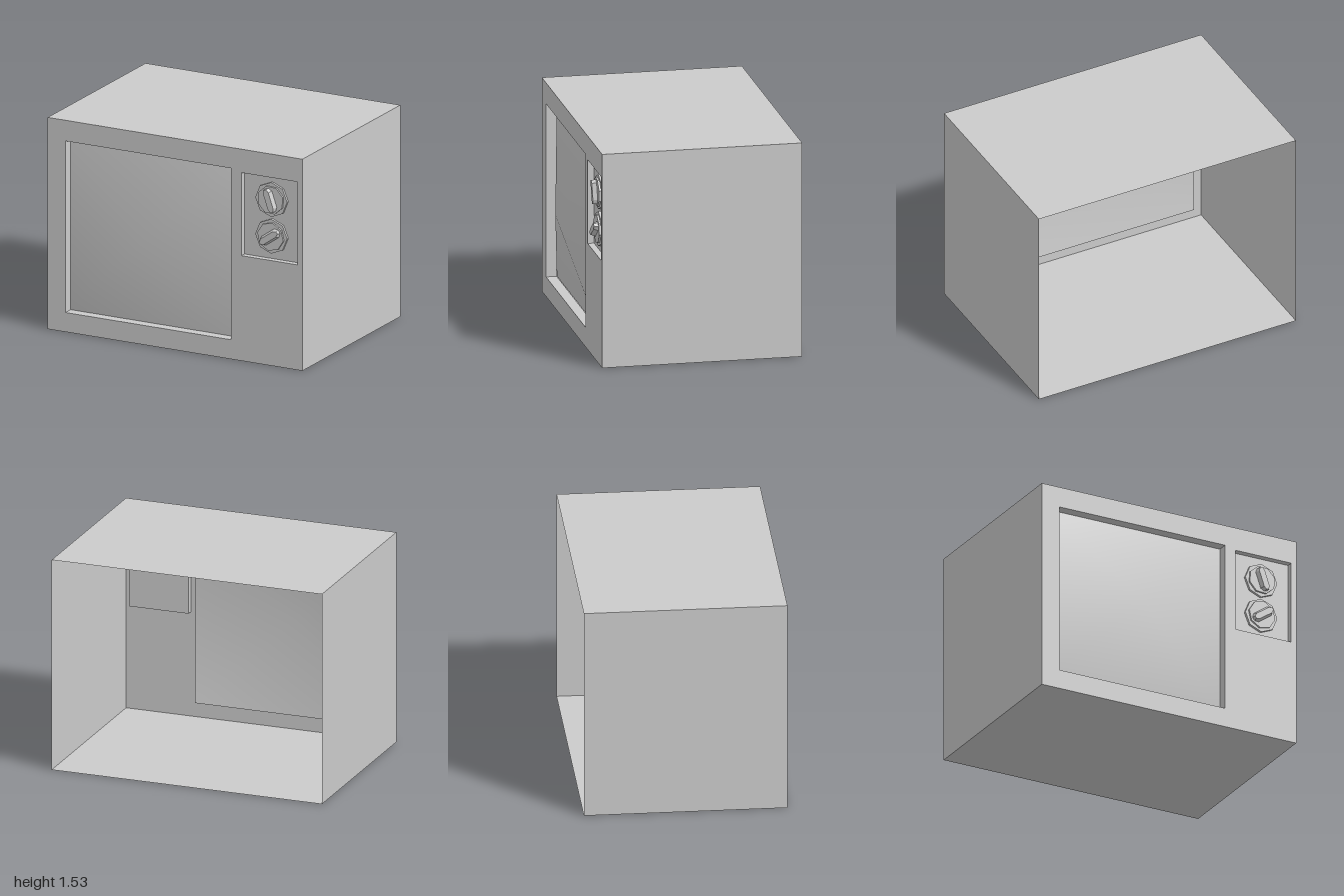
import * as THREE from 'three';

const W = 2, H = 1.53, FRONT = 0.67, BACK = -0.74;
const SCREEN = { x0: -0.86, x1: 0.44, y0: 0.14, y1: 1.38, back: 0.595 };
const CONTROLS = { x0: 0.52, x1: 0.96, y0: 0.76, y1: 1.36, back: 0.625 };

const solid = new THREE.MeshStandardMaterial({ color: 0xcccccc, flatShading: true });
const sheet = new THREE.MeshStandardMaterial({ color: 0xcccccc, side: THREE.DoubleSide });

function add(parent, name, geometry, material = sheet) {
  const mesh = new THREE.Mesh(geometry, material);
  mesh.name = name;
  parent.add(mesh);
  return mesh;
}

// Four thin walls running along z, open at both ends
function sleeve({ x0, x1, y0, y1 }, z0, z1) {
  const g = new THREE.BoxGeometry(x1 - x0, y1 - y0, z1 - z0);
  g.setIndex(Array.from(g.index.array.slice(0, 24)));
  g.clearGroups();
  return g.translate((x0 + x1) / 2, (y0 + y1) / 2, (z0 + z1) / 2);
}

function trace(path, { x0, x1, y0, y1 }) {
  return path.moveTo(x0, y0).lineTo(x1, y0).lineTo(x1, y1).lineTo(x0, y1).closePath();
}

// Shallow pyramid of glass with smooth normals, slightly larger than its opening
function bulgedPane(x0, x1, y0, y1, rim, peak) {
  const g = new THREE.BufferGeometry();
  g.setAttribute('position', new THREE.Float32BufferAttribute([
    x0, y0, rim, x1, y0, rim, x1, y1, rim, x0, y1, rim,
    (x0 + x1) / 2, (y0 + y1) / 2, peak], 3));
  g.setIndex([0, 1, 4, 1, 2, 4, 2, 3, 4, 3, 0, 4]);
  g.computeVertexNormals();
  return g;
}

// Octagonal disc facing +z, standing on z = 0
function octagon(radius, depth) {
  return new THREE.CylinderGeometry(radius, radius, depth, 8)
    .rotateX(Math.PI / 2).translate(0, 0, depth / 2);
}

// Hand grip with pointed ends, narrowing towards its top
function gripGeometry() {
  const outline = [[0.085, -0.015], [0.085, 0.015], [0.06, 0.036], [-0.06, 0.036],
    [-0.085, 0.015], [-0.085, -0.015], [-0.06, -0.036], [0.06, -0.036]];
  const shape = new THREE.Shape(outline.map(([x, y]) => new THREE.Vector2(x, y)));
  const g = new THREE.ExtrudeGeometry(shape, { depth: 0.035, bevelEnabled: false });
  const p = g.attributes.position;
  for (let i = 0; i < p.count; i++) {
    if (p.getZ(i) > 0.01) p.setXY(i, p.getX(i) * 0.97, p.getY(i) * 0.6);
  }
  g.computeVertexNormals();
  return g;
}

function makeKnob(name, y, angle) {
  const knob = new THREE.Group();
  knob.name = name;
  knob.position.set(0.74, y, CONTROLS.back);
  add(knob, 'knobBase', octagon(0.125, 0.018), solid);
  const dial = new THREE.Group();
  dial.name = 'knobDial';
  dial.rotation.z = angle;
  add(dial, 'knobDisc', octagon(0.103, 0.032), solid);
  add(dial, 'knobGrip', gripGeometry(), solid).position.z = 0.028;
  knob.add(dial);
  return knob;
}

export function createModel() {
  const model = new THREE.Group();
  model.name = 'television';

  // Cabinet shell, open at the back
  const outer = { x0: -W / 2, x1: W / 2, y0: 0, y1: H };
  add(model, 'cabinet', sleeve(outer, BACK, FRONT));

  // Front panel with two openings
  const face = trace(new THREE.Shape(), outer);
  face.holes.push(trace(new THREE.Path(), SCREEN), trace(new THREE.Path(), CONTROLS));
  add(model, 'frontPanel', new THREE.ShapeGeometry(face).translate(0, 0, FRONT));

  // Screen recess and pane
  add(model, 'screenSurround', sleeve(SCREEN, SCREEN.back, FRONT));
  add(model, 'screen', bulgedPane(-0.9, 0.455, 0.13, 1.4, 0.585, 0.74));

  // Control recess and knobs
  add(model, 'controlSurround', sleeve(CONTROLS, CONTROLS.back, FRONT));
  const plate = trace(new THREE.Shape(), CONTROLS);
  add(model, 'controlPlate', new THREE.ShapeGeometry(plate).translate(0, 0, CONTROLS.back));
  model.add(makeKnob('upperKnob', 1.19, THREE.MathUtils.degToRad(109)));
  model.add(makeKnob('lowerKnob', 0.925, THREE.MathUtils.degToRad(35)));

  return model;
}
